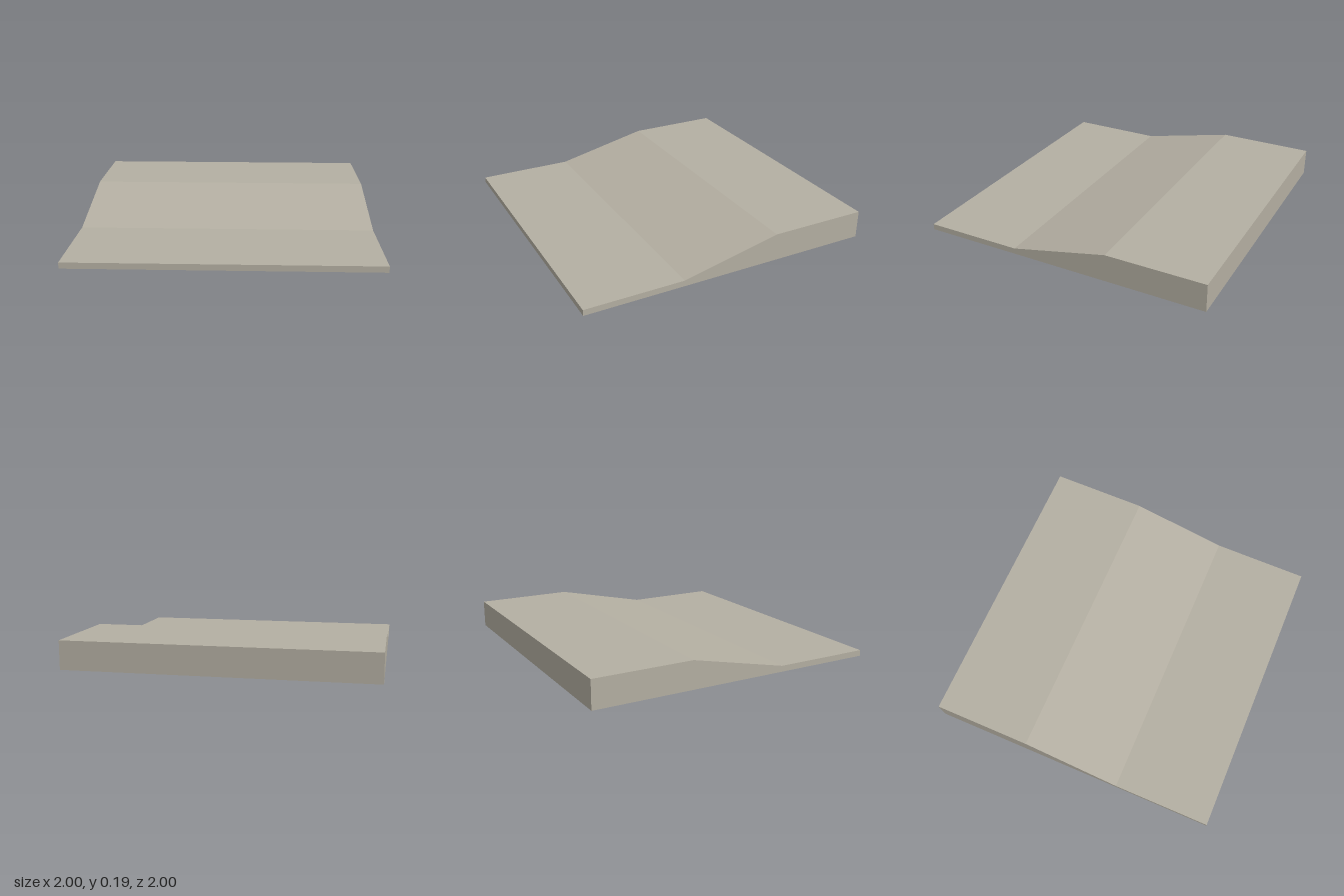
import * as THREE from 'three';

export function createModel() {
  const model = new THREE.Group();
  model.name = 'rampTile';

  const stone = new THREE.MeshStandardMaterial({ color: 0xb4afa2 });
  stone.name = 'warm grey stone';

  // Side profile as (z, y): low front ledge, slope, raised back ledge
  const profile = new THREE.Shape([
    [-1, 0], [1, 0], [1, 0.04], [0.333, 0.04], [-0.333, 0.188], [-1, 0.188],
  ].map(([z, y]) => new THREE.Vector2(z, y)));

  // Sweep the profile across the full width
  const geometry = new THREE.ExtrudeGeometry(profile, { depth: 2, bevelEnabled: false });
  geometry.translate(0, 0, -1).rotateY(-Math.PI / 2);

  const slab = new THREE.Mesh(geometry, stone);
  slab.name = 'slopedSlab';
  model.add(slab);
  return model;
}
